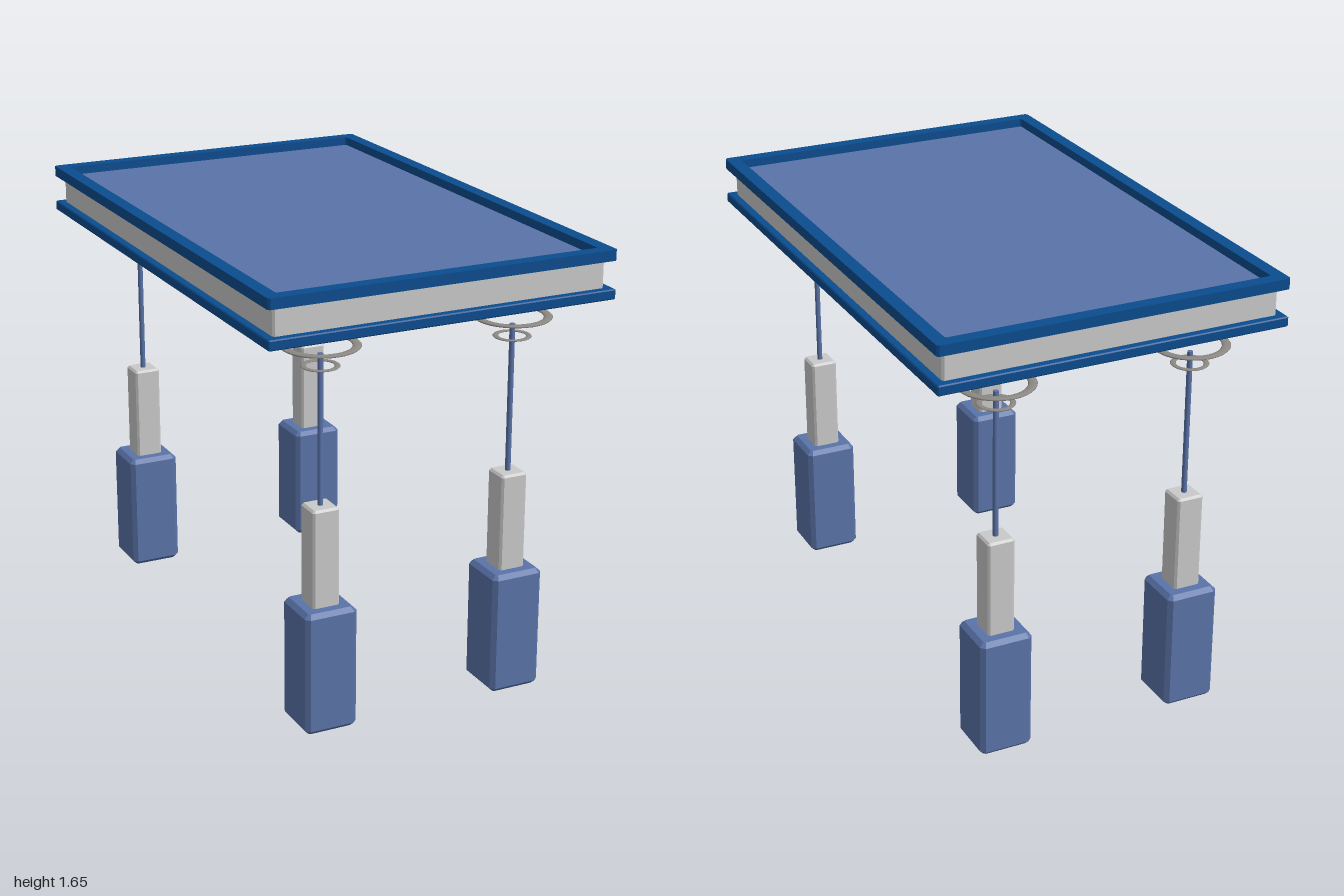
import * as THREE from 'three';

const mat = (name, color) => {
  const m = new THREE.MeshStandardMaterial({ color });
  m.name = name;
  return m;
};

// Rectangle with cut corners, w wide and d deep
function cutRect(w, d, k, Type = THREE.Shape) {
  const x = w / 2, y = d / 2;
  return new Type([
    [x - k, -y], [x, -y + k], [x, y - k], [x - k, y],
    [-x + k, y], [-x, y - k], [-x, -y + k], [-x + k, -y],
  ].map(([a, b]) => new THREE.Vector2(a, b)));
}

// Box standing on y = 0 with every edge chamfered by c
function chamferBox(w, h, d, c) {
  const g = new THREE.ExtrudeGeometry(cutRect(w - 2 * c, d - 2 * c, 0.414 * c), {
    depth: h - 2 * c, bevelEnabled: true, bevelSize: c, bevelThickness: c, bevelSegments: 1,
  });
  return g.rotateX(-Math.PI / 2).translate(0, c, 0);
}

export function createModel() {
  const model = new THREE.Group();
  const frameBlue = mat('frame blue', 0x0b4c8f);
  const slateBlue = mat('slate blue', 0x5a73a8);
  const lightGrey = mat('light grey', 0xcacaca);
  const ringGrey = mat('ring grey', 0x8c8984);

  const add = (parent, name, geometry, material, x = 0, y = 0, z = 0) => {
    const mesh = new THREE.Mesh(geometry, material);
    mesh.name = name;
    mesh.position.set(x, y, z);
    parent.add(mesh);
    return mesh;
  };

  // Table top: lower slab, grey core, raised rim and recessed panel
  const top = new THREE.Group();
  top.name = 'tableTop';
  model.add(top);
  add(top, 'lowerSlab', chamferBox(1.31, 0.037, 2, 0.004), frameBlue, 0, 1.471);
  add(top, 'core', chamferBox(1.25, 0.112, 1.94, 0.008), lightGrey, 0, 1.495);
  add(top, 'rimUnderlay', new THREE.BoxGeometry(1.24, 0.012, 1.93), frameBlue, 0, 1.604);

  const rim = cutRect(1.31, 2, 0.008);
  rim.holes.push(cutRect(1.21, 1.9, 0.006, THREE.Path));
  const rimGeometry = new THREE.ExtrudeGeometry(rim, { depth: 0.039, bevelEnabled: false });
  add(top, 'raisedRim', rimGeometry.rotateX(-Math.PI / 2), frameBlue, 0, 1.609);
  add(top, 'playPanel', new THREE.BoxGeometry(1.225, 0.008, 1.915), slateBlue, 0, 1.612);

  // Legs: foot, sleeve, rod and two floating rings
  const foot = chamferBox(0.198, 0.46, 0.198, 0.016);
  const sleeve = chamferBox(0.102, 0.38, 0.102, 0.008);
  const rod = new THREE.CylinderGeometry(0.01, 0.01, 0.56, 12);
  const flatRing = (outer, tube, height) =>
    new THREE.TorusGeometry(outer - tube, tube, 10, 32)
      .rotateX(Math.PI / 2).scale(1, height / (2 * tube), 1);
  const largeRing = flatRing(0.139, 0.016, 0.01);
  const smallRing = flatRing(0.068, 0.01, 0.006);

  for (const [end, z] of [['front', 0.797], ['back', -0.833]]) {
    for (const [side, x] of [['Left', 0.37], ['Right', -0.372]]) {
      const leg = new THREE.Group();
      leg.name = `${end}${side}Leg`;
      leg.position.set(x, 0, z);
      add(leg, 'foot', foot, slateBlue);
      add(leg, 'sleeve', sleeve, lightGrey, 0, 0.442);
      add(leg, 'rod', rod, slateBlue, 0, 1.087);
      add(leg, 'smallRing', smallRing, ringGrey, 0, 1.323);
      add(leg, 'largeRing', largeRing, ringGrey, 0, 1.395);
      model.add(leg);
    }
  }
  return model;
}
